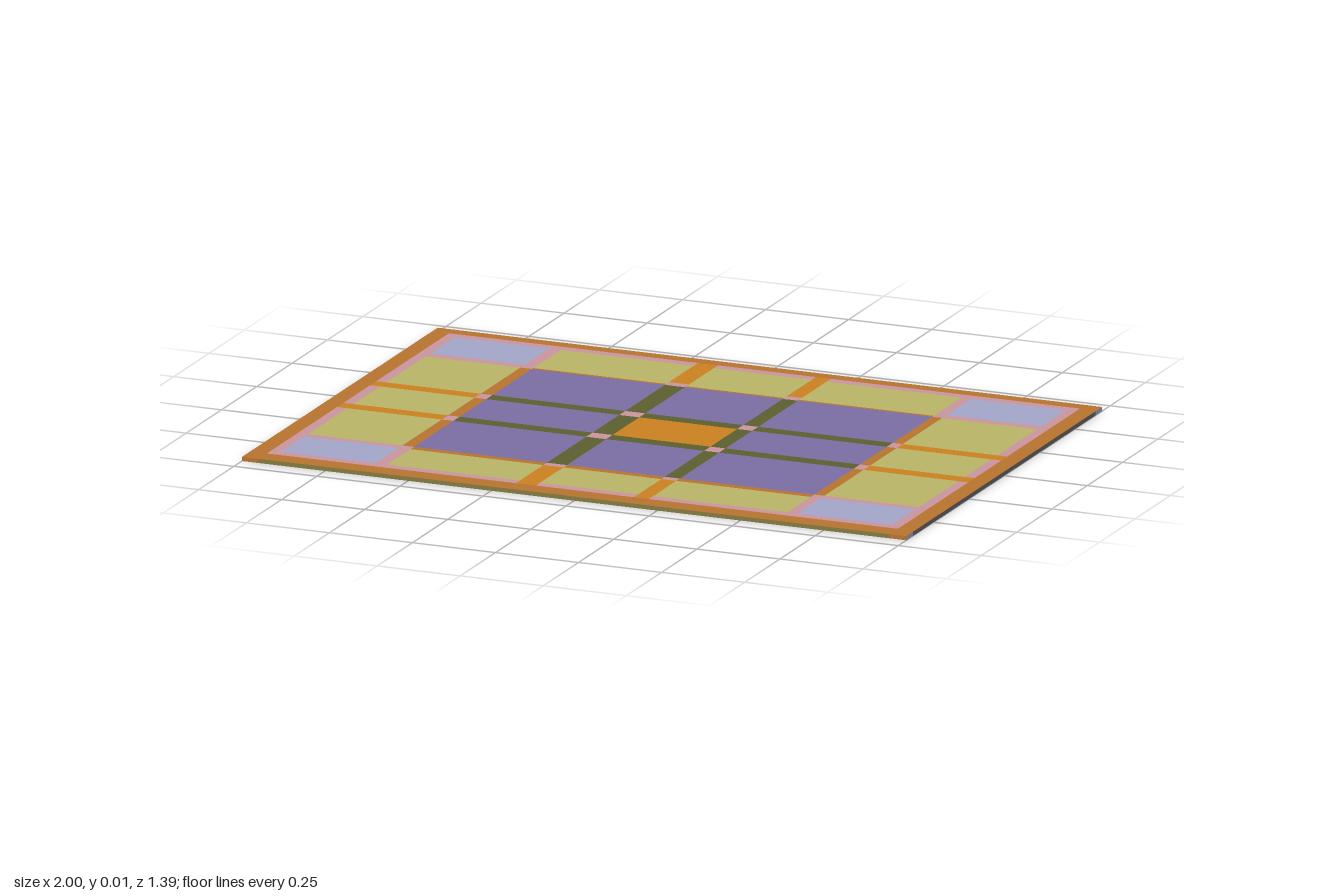
import * as THREE from 'three';
import { mergeGeometries } from 'three/addons/utils/BufferGeometryUtils.js';

const THICK = 0.012, HX = 1, HZ = 0.693;

// Grid lines of the woven pattern
const XS = [-HX, -0.95, -0.92, -0.635, -0.6, -0.2, -0.14, 0.155, 0.2, 0.605, 0.635, 0.92, 0.95, HX];
const ZS = [-HZ, -0.655, -0.625, -0.45, -0.43, -0.42, -0.14, -0.097, 0.092, 0.137, 0.415, 0.44, 0.605, 0.635, HZ];

// One letter per cell: B border, K pink, L lavender, Y yellow, O orange, P purple, D olive
const PATTERN = [
  'BBBBBBBBBBBBB',
  'BKKKKOKOKKKKB',
  'BKLKYOYOYKLKB',
  'BKKKYKYKYKKKB',
  'BKKKBKBKBKKKB',
  'BKYBPDPDPBYKB',
  'BOOKDKDKDKOOB',
  'BKYBPDODPBYKB',
  'BOOKDKDKDKOOB',
  'BKYBPDPDPBYKB',
  'BKKKBKBKBKKKB',
  'BKLKYOYOYKLKB',
  'BKKKKOKOKKKKB',
  'BBBBBBBBBBBBB',
];

const COLOURS = {
  B: ['brownBorder', 0xb8732f],
  K: ['pinkTrim', 0xc9949e],
  L: ['lavenderCorners', 0xa2a6c8],
  Y: ['yellowPanels', 0xb9b566],
  O: ['orangeBands', 0xcb8020],
  P: ['purplePanels', 0x7b6ea3],
  D: ['oliveBands', 0x5c5f2e],
  F: ['oliveEdge', 0x857a40],
  G: ['greyEdge', 0x686566],
};

// Horizontal rectangle facing up (top) or down (underside)
function flat(x0, x1, z0, z1, up) {
  return new THREE.PlaneGeometry(x1 - x0, z1 - z0)
    .rotateX(up ? -Math.PI / 2 : Math.PI / 2)
    .translate((x0 + x1) / 2, up ? THICK : 0, (z0 + z1) / 2);
}

// Upright strip of the rim, centred at (x, z) and turned to face outwards
function rim(length, turn, x, z) {
  return new THREE.PlaneGeometry(length, THICK).rotateY(turn).translate(x, THICK / 2, z);
}

export function createModel() {
  const rug = new THREE.Group();
  rug.name = 'rug';
  const pieces = {};
  for (const key in COLOURS) pieces[key] = [];

  // Pattern on both faces, joining equal neighbours into one strip
  PATTERN.forEach((row, r) => {
    for (let c = 0; c < row.length;) {
      let end = c + 1;
      while (row[end] === row[c]) end++;
      for (const up of [true, false]) {
        pieces[row[c]].push(flat(XS[c], XS[end], ZS[r], ZS[r + 1], up));
      }
      c = end;
    }
  });

  // Front rim with brown ends, plain back rim
  pieces.F.push(rim(1.9, 0, 0, HZ));
  for (const s of [-1, 1]) pieces.B.push(rim(0.05, 0, s * 0.975, HZ));
  pieces.G.push(rim(2 * HX, Math.PI, 0, -HZ));

  // Side rims with lavender ends
  for (const s of [-1, 1]) {
    pieces.G.push(rim(1.29, s * Math.PI / 2, s * HX, 0));
    for (const e of [-1, 1]) pieces.L.push(rim(HZ - 0.645, s * Math.PI / 2, s * HX, e * (HZ + 0.645) / 2));
  }

  for (const key in COLOURS) {
    const [name, color] = COLOURS[key];
    const material = new THREE.MeshStandardMaterial({ color });
    material.name = name;
    const mesh = new THREE.Mesh(mergeGeometries(pieces[key]), material);
    mesh.name = name;
    rug.add(mesh);
  }
  return rug;
}
